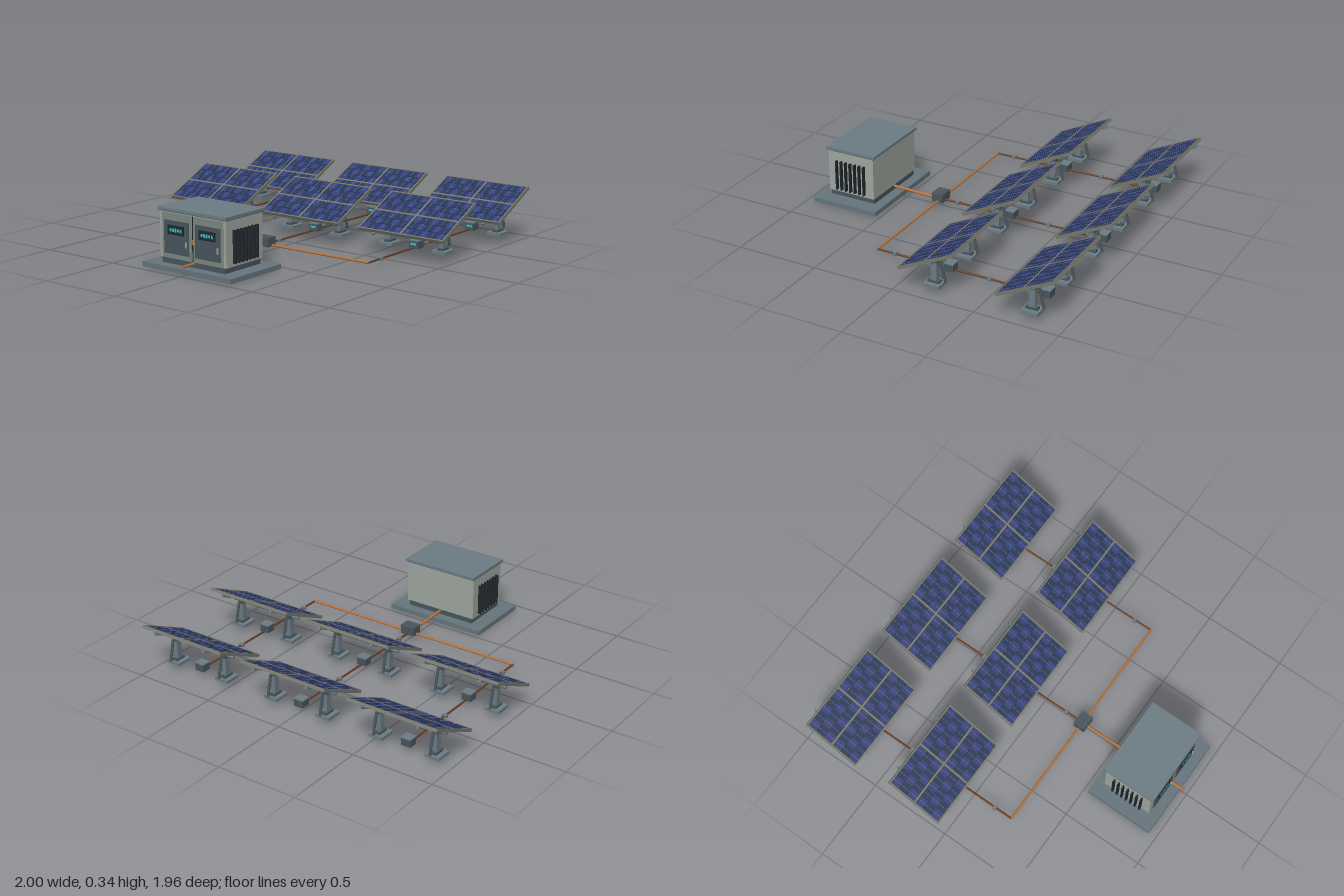
import * as THREE from 'three';

const mat = (color) => new THREE.MeshStandardMaterial({ color });
const M = {
  concrete: mat(0x66757d), steel: mat(0x6d7c84), dark: mat(0x48565d), black: mat(0x20282c),
  wall: mat(0x9fa69f), trim: mat(0x7e8882), frame: mat(0x77786a), back: mat(0x2d3438),
  cellA: mat(0x26375a), cellB: mat(0x343f78), line: mat(0x7d86a0),
  teal: mat(0x35c4c0), copper: mat(0xb8733a), cable: mat(0x6b3f22),
};

function box(parent, name, material, w, h, d, x, y, z) {
  const mesh = new THREE.Mesh(new THREE.BoxGeometry(w, h, d), material);
  mesh.name = name;
  mesh.position.set(x, y, z);
  parent.add(mesh);
  return mesh;
}

// Round bar between two points
function rod(parent, name, material, r, a, b, sides = 8) {
  const p = new THREE.Vector3(...a), q = new THREE.Vector3(...b);
  const dir = q.clone().sub(p);
  const mesh = new THREE.Mesh(new THREE.CylinderGeometry(r, r, dir.length(), sides), material);
  mesh.name = name;
  mesh.position.copy(p).add(q).multiplyScalar(0.5);
  mesh.quaternion.setFromUnitVectors(new THREE.Vector3(0, 1, 0), dir.normalize());
  parent.add(mesh);
  return mesh;
}

const PW = 0.572, PL = 0.37, TILT = 0.445;

// Tilted panel: two by two modules of cells in a frame
function createPanel() {
  const g = new THREE.Group();
  g.name = 'solarPanel';
  box(g, 'backSheet', M.back, PW - 0.01, 0.01, PL - 0.01, 0, -0.001, 0);
  for (const s of [-1, 1]) {
    box(g, 'frameSide', M.frame, 0.009, 0.018, PL, s * (PW / 2 - 0.0045), 0, 0);
    box(g, 'frameEnd', M.frame, PW, 0.018, 0.009, 0, 0, s * (PL / 2 - 0.0045));
    box(g, 'rail', M.steel, 0.014, 0.014, 0.395, s * 0.18, -0.015, 0);
  }
  box(g, 'middleBar', M.frame, 0.012, 0.017, PL, 0, 0, 0);
  box(g, 'crossBar', M.frame, PW, 0.017, 0.012, 0, 0, 0);
  const cols = 5, rows = 3;
  const mw = PW / 2 - 0.015, ml = PL / 2 - 0.015;
  const cw = mw / cols, cl = ml / rows;
  for (const sx of [-1, 1]) for (const sz of [-1, 1]) {
    const cx = sx * (0.006 + mw / 2), cz = sz * (0.006 + ml / 2);
    for (let i = 0; i < cols; i++) {
      const x = cx + (i - (cols - 1) / 2) * cw;
      for (let j = 0; j < rows; j++) {
        const z = cz + (j - (rows - 1) / 2) * cl;
        box(g, 'cell', (i + j) % 2 ? M.cellA : M.cellB, cw - 0.004, 0.004, cl - 0.004, x, 0.005, z);
      }
      box(g, 'busbar', M.line, 0.0015, 0.001, ml, x, 0.0074, cz);
    }
  }
  return g;
}

// Panel with posts, footings, braces and a connection box
function createArray(x, z) {
  const g = new THREE.Group();
  g.name = 'panelUnit';
  g.position.set(x, 0, z);
  const panel = createPanel();
  panel.position.y = 0.22;
  panel.rotation.x = TILT;
  g.add(panel);
  rod(g, 'crossBeam', M.steel, 0.011, [-0.24, 0.188, 0], [0.24, 0.188, 0]);
  for (const s of [-1, 1]) {
    box(g, 'footing', M.steel, 0.09, 0.018, 0.1, s * 0.18, 0.044, 0);
    box(g, 'postBase', M.dark, 0.035, 0.012, 0.07, s * 0.18, 0.059, 0);
    box(g, 'post', M.steel, 0.022, 0.145, 0.036, s * 0.18, 0.1275, 0);
    box(g, 'saddle', M.dark, 0.032, 0.024, 0.05, s * 0.18, 0.188, 0);
    rod(g, 'brace', M.dark, 0.008, [s * 0.18, 0.065, -0.068], [s * 0.18, 0.19, -0.037]);
  }
  box(g, 'connectionBox', M.dark, 0.06, 0.048, 0.055, 0, 0.062, 0);
  box(g, 'connectionBoxLid', M.steel, 0.064, 0.006, 0.058, 0, 0.084, 0);
  box(g, 'statusStrip', M.teal, 0.036, 0.012, 0.003, 0, 0.064, 0.028);
  return g;
}

// Inverter cabinet on its slab
function createCabinet() {
  const g = new THREE.Group();
  g.name = 'cabinet';
  g.position.z = 0.74;
  box(g, 'slab', M.concrete, 0.638, 0.028, 0.424, 0, 0.014, 0);
  box(g, 'plinth', M.dark, 0.45, 0.034, 0.3, 0, 0.045, 0);
  box(g, 'body', M.wall, 0.472, 0.266, 0.306, 0, 0.193, 0);
  box(g, 'roof', M.steel, 0.488, 0.017, 0.33, 0, 0.3325, 0);
  box(g, 'roofTrim', M.dark, 0.48, 0.006, 0.318, 0, 0.322, 0);
  box(g, 'doorSeam', M.black, 0.006, 0.25, 0.004, 0, 0.188, 0.153);
  box(g, 'latch', M.copper, 0.006, 0.026, 0.008, 0, 0.17, 0.156);
  for (const s of [-1, 1]) {
    const x = s * 0.112;
    box(g, 'door', M.trim, 0.21, 0.25, 0.006, x, 0.188, 0.154);
    box(g, 'doorPanel', M.dark, 0.178, 0.186, 0.006, x, 0.18, 0.158);
    box(g, 'display', M.black, 0.116, 0.052, 0.006, x, 0.222, 0.163);
    for (let i = 0; i < 5; i++)
      box(g, 'displayBar', M.teal, 0.012, 0.016 + 0.003 * (i % 3), 0.003, x + (i - 2) * 0.018, 0.222, 0.1665);
    box(g, 'handle', M.wall, 0.007, 0.034, 0.01, x + 0.074, 0.15, 0.165);
    // Side louvres
    for (let i = 0; i < 7; i++)
      box(g, 'louvre', M.black, 0.022, 0.185, 0.009, s * 0.246, 0.17, -0.092 + i * 0.031);
  }
  return g;
}

export function createModel() {
  const model = new THREE.Group();
  model.name = 'solarFarm';
  model.add(createCabinet());
  const X = 0.714, Y = 0.043, BUS = 0.265;

  for (const x of [-X, 0, X]) {
    for (const z of [-0.205, -0.795]) model.add(createArray(x, z));
    // String cable with in-line connectors
    rod(model, 'stringCable', M.cable, 0.006, [x, Y, BUS], [x, Y, -0.795]);
    for (const z of [0.15, -0.445]) box(model, 'connector', M.steel, 0.028, 0.018, 0.02, x, Y, z);
  }
  rod(model, 'busCable', M.copper, 0.007, [-X - 0.004, Y, BUS], [X + 0.004, Y, BUS]);

  // Combiner box and main cable into the cabinet
  box(model, 'combinerBox', M.dark, 0.09, 0.052, 0.07, 0, 0.062, 0.268);
  box(model, 'combinerLid', M.dark, 0.094, 0.006, 0.074, 0, 0.086, 0.268);
  const path = new THREE.CatmullRomCurve3(
    [[0, Y, 0.27], [0, Y, 0.36], [0, 0.049, 0.58], [0, 0.049, 0.978]].map((p) => new THREE.Vector3(...p)));
  const main = new THREE.Mesh(new THREE.TubeGeometry(path, 24, 0.0085, 8), M.copper);
  main.name = 'mainCable';
  model.add(main);
  const cap = new THREE.Mesh(new THREE.CircleGeometry(0.0085, 8), M.copper);
  cap.name = 'mainCableEnd';
  cap.position.set(0, 0.049, 0.978);
  model.add(cap);
  return model;
}
